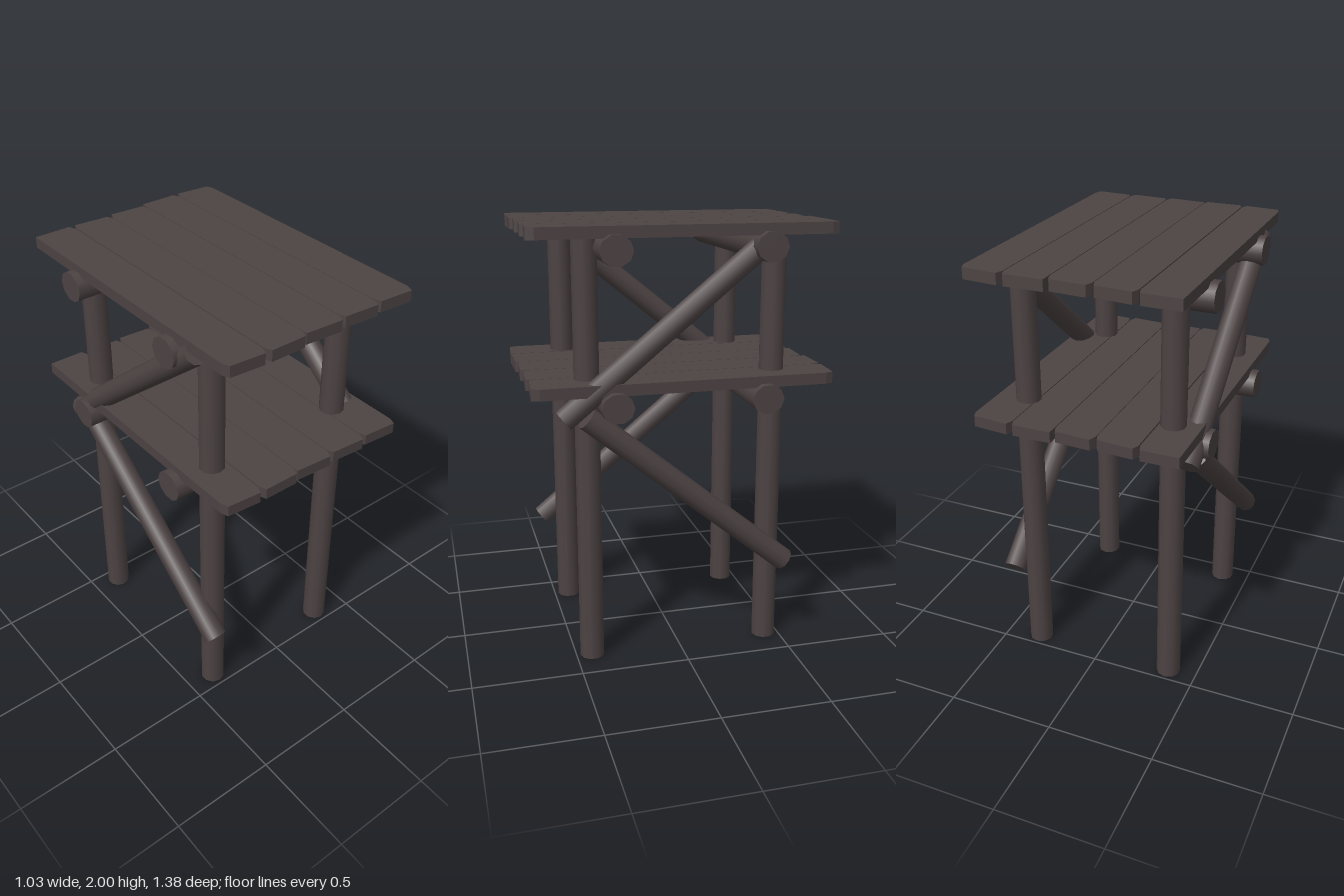
import * as THREE from 'three';

const wood = new THREE.MeshStandardMaterial({ color: 0x4d4343 });
wood.name = 'dark wood';

// Round log between two points
function log(name, from, to, radius) {
  const a = new THREE.Vector3(...from), b = new THREE.Vector3(...to);
  const dir = b.clone().sub(a);
  const mesh = new THREE.Mesh(new THREE.CylinderGeometry(radius, radius, dir.length(), 10), wood);
  mesh.name = name;
  mesh.position.copy(a).add(b).multiplyScalar(0.5);
  mesh.quaternion.setFromUnitVectors(new THREE.Vector3(0, 1, 0), dir.normalize());
  return mesh;
}

// Plank outline: x edges, z at back left/right and front left/right,
// and whether each of those four corners is cut off
const planks = [
  [-0.485, -0.3, -0.69, -0.69, 0.674, 0.686, [0, 1, 1, 1]],
  [-0.294, -0.103, -0.69, -0.676, 0.686, 0.686, [1, 1, 1, 1]],
  [-0.1, 0.09, -0.686, -0.675, 0.674, 0.686, [1, 1, 0, 1]],
  [0.094, 0.285, -0.69, -0.69, 0.674, 0.686, [0, 1, 1, 1]],
  [0.289, 0.478, -0.69, -0.675, 0.674, 0.686, [1, 1, 1, 1]],
];

function plank([x0, x1, bl, br, fl, fr, cut]) {
  const outline = [];
  const corner = (x, z, inward, on, cutFirst) => {
    if (!on) return outline.push(new THREE.Vector2(x, -z));
    const side = new THREE.Vector2(x, -z + Math.sign(z) * 0.035);
    const end = new THREE.Vector2(x + inward * 0.013, -z);
    outline.push(...(cutFirst ? [side, end] : [end, side]));
  };
  corner(x0, fl, 1, cut[2], true);
  corner(x1, fr, -1, cut[3], false);
  corner(x1, br, -1, cut[1], true);
  corner(x0, bl, 1, cut[0], false);
  const geo = new THREE.ExtrudeGeometry(new THREE.Shape(outline), { depth: 0.051, bevelEnabled: false });
  geo.rotateX(-Math.PI / 2);
  const mesh = new THREE.Mesh(geo, wood);
  mesh.name = 'plank';
  return mesh;
}

export function createModel() {
  const model = new THREE.Group();
  model.name = 'wooden platform';

  // Four upright posts
  for (const x of [-0.362, 0.328])
    for (const z of [0.425, -0.43])
      model.add(log('post', [x, 0, z], [x, 1.955, z], 0.057));

  // Two decks, each on a pair of cross beams with a brace on either side
  for (const [name, y] of [['lowerDeck', 1.284], ['upperDeck', 1.949]]) {
    const deck = new THREE.Group();
    deck.name = name;
    deck.position.y = y;
    planks.forEach(p => deck.add(plank(p)));
    for (const z of [0.322, -0.355]) {
      const beam = new THREE.Mesh(new THREE.CylinderGeometry(0.073, 0.073, 1.034, 10), wood);
      beam.name = 'crossBeam';
      beam.rotation.z = Math.PI / 2;
      beam.scale.x = 0.92;
      beam.position.set(-0.002, -0.047, z);
      deck.add(beam);
    }
    model.add(deck);
  }

  // Diagonal braces, their slope alternating between sides and storeys
  model.add(
    log('upperLeftBrace', [0.43, 1.18, 0.545], [0.43, 1.94, -0.385], 0.053),
    log('lowerLeftBrace', [0.427, 0.425, -0.485], [0.432, 1.185, 0.445], 0.053),
    log('upperRightBrace', [-0.447, 1.18, -0.485], [-0.451, 1.94, 0.445], 0.053),
    log('lowerRightBrace', [-0.437, 0.425, 0.545], [-0.447, 1.185, -0.385], 0.053),
  );
  return model;
}
